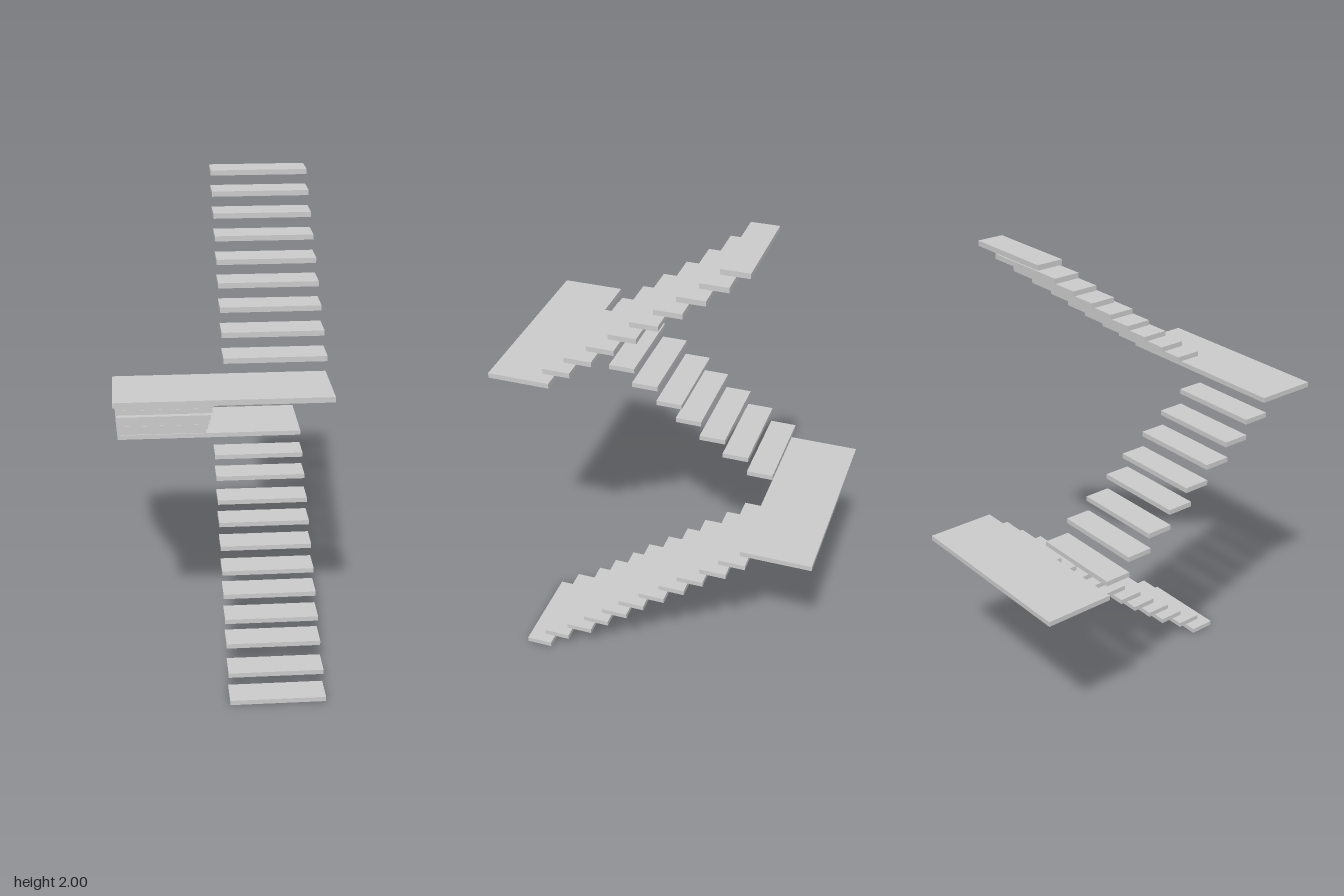
import * as THREE from 'three';

const material = new THREE.MeshStandardMaterial({ color: 0xcccccc });
const THICKNESS = 0.021;
const TREAD_DEPTH = 0.111;

// Flat slab spanning x0..x1 and z0..z1, centred on height y
function slab(name, x0, x1, y, z0, z1) {
  const mesh = new THREE.Mesh(new THREE.BoxGeometry(x1 - x0, THICKNESS, z1 - z0), material);
  mesh.name = name;
  mesh.position.set((x0 + x1) / 2, y, (z0 + z1) / 2);
  return mesh;
}

// Run of floating treads, slightly uneven in spacing; fronts lists each tread's front edge (z)
function flight(name, x0, x1, y0, rise, fronts) {
  const group = new THREE.Group();
  group.name = name;
  fronts.forEach((z, i) =>
    group.add(slab(`${name}Tread${i + 1}`, x0, x1, y0 + i * rise, z - TREAD_DEPTH, z)));
  return group;
}

export function createModel() {
  const model = new THREE.Group();
  model.name = 'floatingStaircase';

  // Bottom tread rests on the ground, the rest climb towards the back
  model.add(slab('bottomTread', 0.02, 0.414, THICKNESS / 2, 0.479, 0.59));
  model.add(flight('lowerFlight', 0.02, 0.414, 0.082, 0.0686,
    [0.502, 0.392, 0.312, 0.225, 0.147, 0.055, -0.033, -0.113, -0.21, -0.289]));
  model.add(slab('backLanding', -0.415, 0.414, 0.768, -0.669, -0.378));

  // Middle flight returns to the front on the other side
  model.add(flight('middleFlight', -0.415, -0.02, 0.836, 0.068,
    [-0.281, -0.173, -0.071, 0.034, 0.119, 0.225, 0.325, 0.431]));
  model.add(slab('frontLanding', -0.415, 0.388, 1.38, 0.415, 0.669));

  // Upper flight climbs to the back again
  model.add(flight('upperFlight', 0, 0.391, 1.447, 0.0678,
    [0.434, 0.342, 0.249, 0.159, 0.074, -0.019, -0.107, -0.191, -0.267]));

  return model;
}
